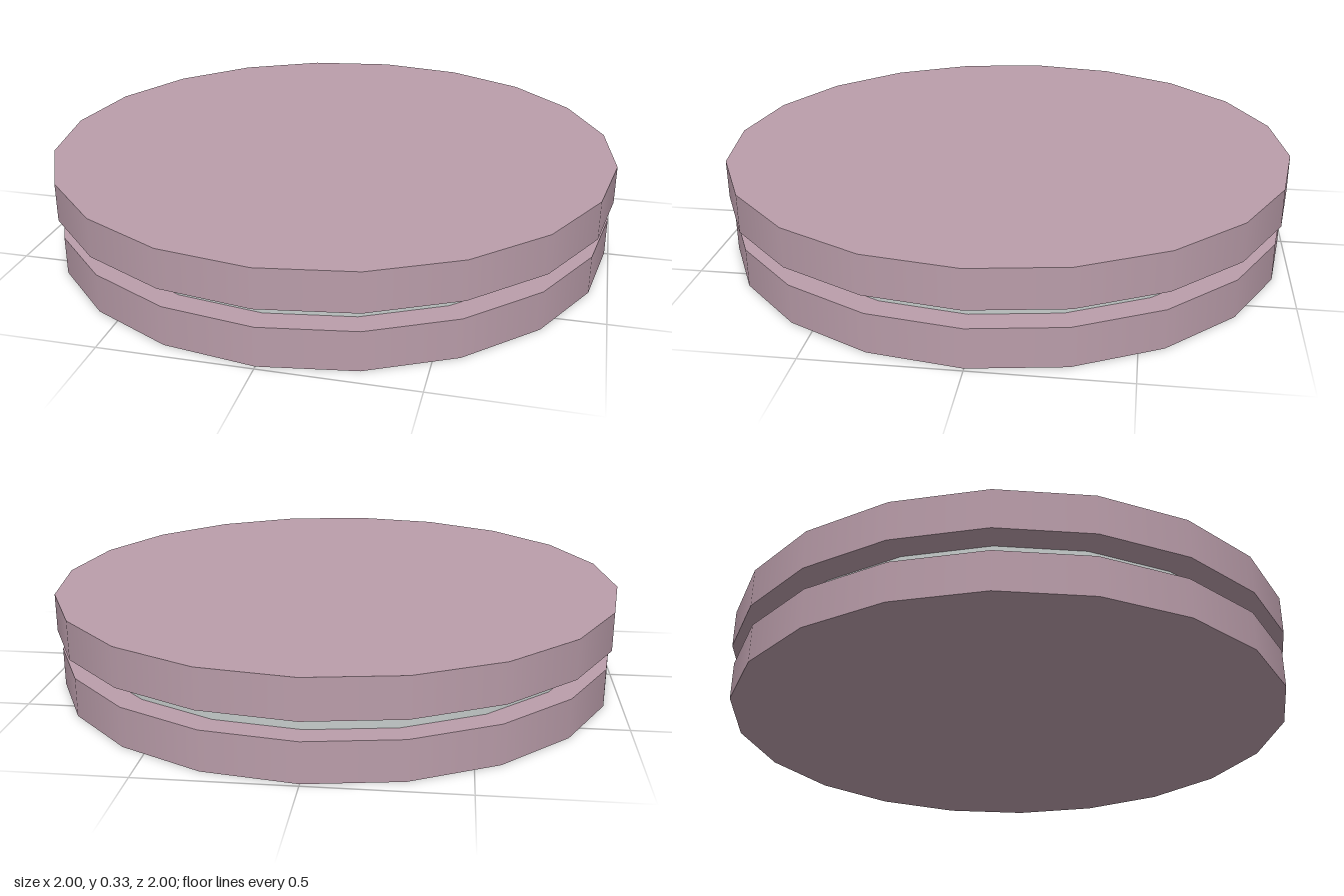
import * as THREE from 'three';

const SIDES = 20;

// One smooth-sided disc standing on height y
function disc(name, radius, y, height, color) {
  const mesh = new THREE.Mesh(
    new THREE.CylinderGeometry(radius, radius, height, SIDES),
    new THREE.MeshStandardMaterial({ color })
  );
  mesh.name = name;
  mesh.position.y = y + height / 2;
  return mesh;
}

export function createModel() {
  const model = new THREE.Group();
  model.name = 'layeredDisc';
  const plate = 0.133, gap = 0.067;
  const mauve = 0xba9daa, grey = 0xc6cccb;

  // Two plates held apart by a recessed core
  model.add(
    disc('bottomPlate', 0.987, 0, plate, mauve),
    disc('core', 0.903, plate, gap, grey),
    disc('topPlate', 1, plate + gap, plate, mauve)
  );
  return model;
}
